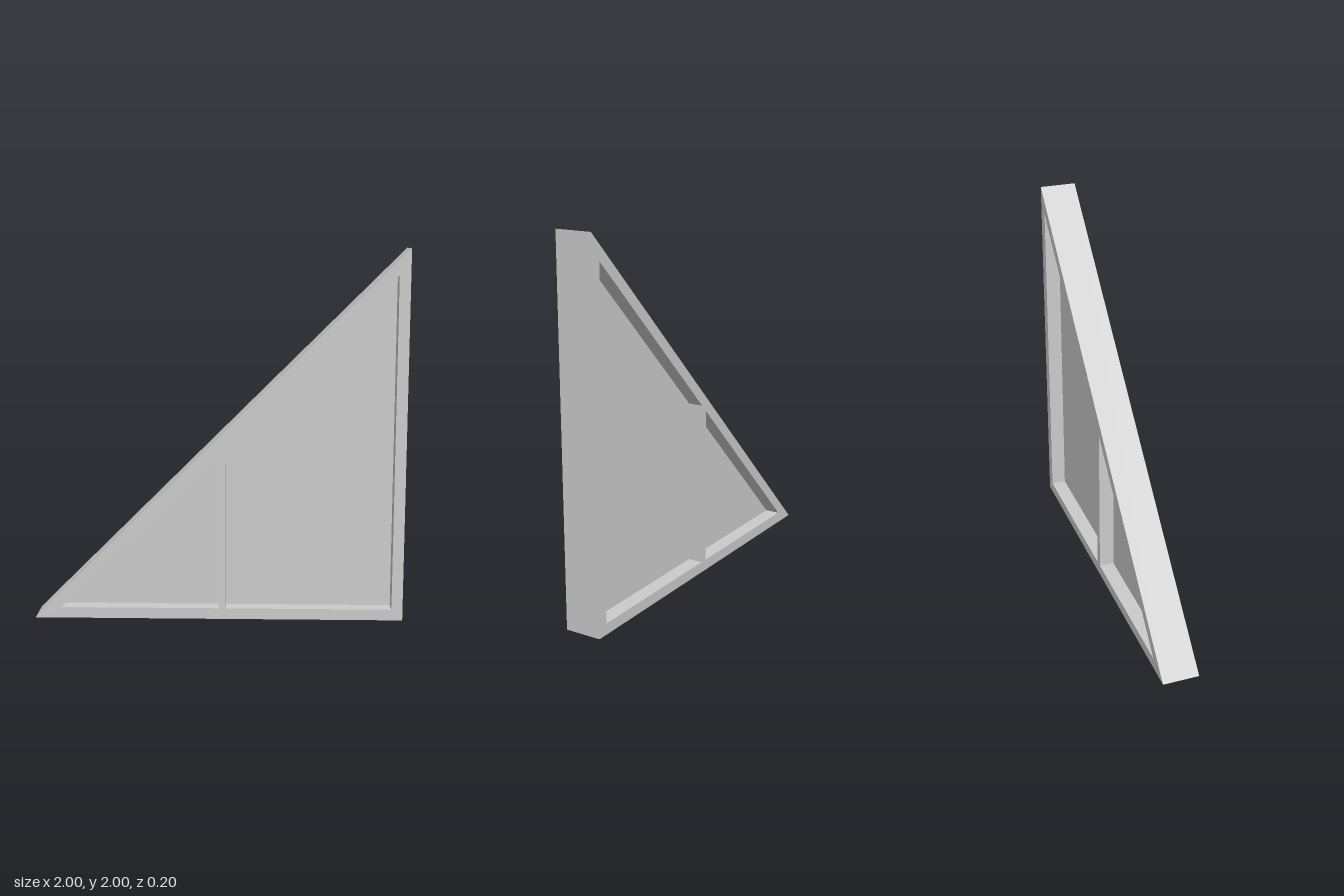
import * as THREE from 'three';

const DEPTH = 0.2;
const GLASS = 0.036;

// Outline of the triangular frame and its two openings
const OUTLINE = [[-1, 0], [1, 0], [1, 2]];
const OPENINGS = {
  smallPane: [[-0.86, 0.06], [0, 0.06], [0, 0.92]],
  largePane: [[0.04, 0.06], [0.94, 0.06], [0.94, 1.86], [0.04, 0.96]],
};

const toPoints = (list) => list.map(([x, y]) => new THREE.Vector2(x, y));

// Extrude a shape centred on z = 0
function slab(name, shape, depth, material) {
  const geometry = new THREE.ExtrudeGeometry(shape, { depth, bevelEnabled: false });
  geometry.translate(0, 0, -depth / 2);
  const mesh = new THREE.Mesh(geometry, material);
  mesh.name = name;
  return mesh;
}

export function createModel() {
  const group = new THREE.Group();
  group.name = 'triangularWindow';
  const material = new THREE.MeshStandardMaterial({ color: 0xcccccc });

  // Frame with its mullion, cut by both openings
  const frame = new THREE.Shape(toPoints(OUTLINE));
  for (const points of Object.values(OPENINGS)) frame.holes.push(new THREE.Path(toPoints(points)));
  group.add(slab('frame', frame, DEPTH, material));

  // Thin panes set midway through the frame
  for (const [name, points] of Object.entries(OPENINGS)) {
    group.add(slab(name, new THREE.Shape(toPoints(points)), GLASS, material));
  }
  return group;
}
